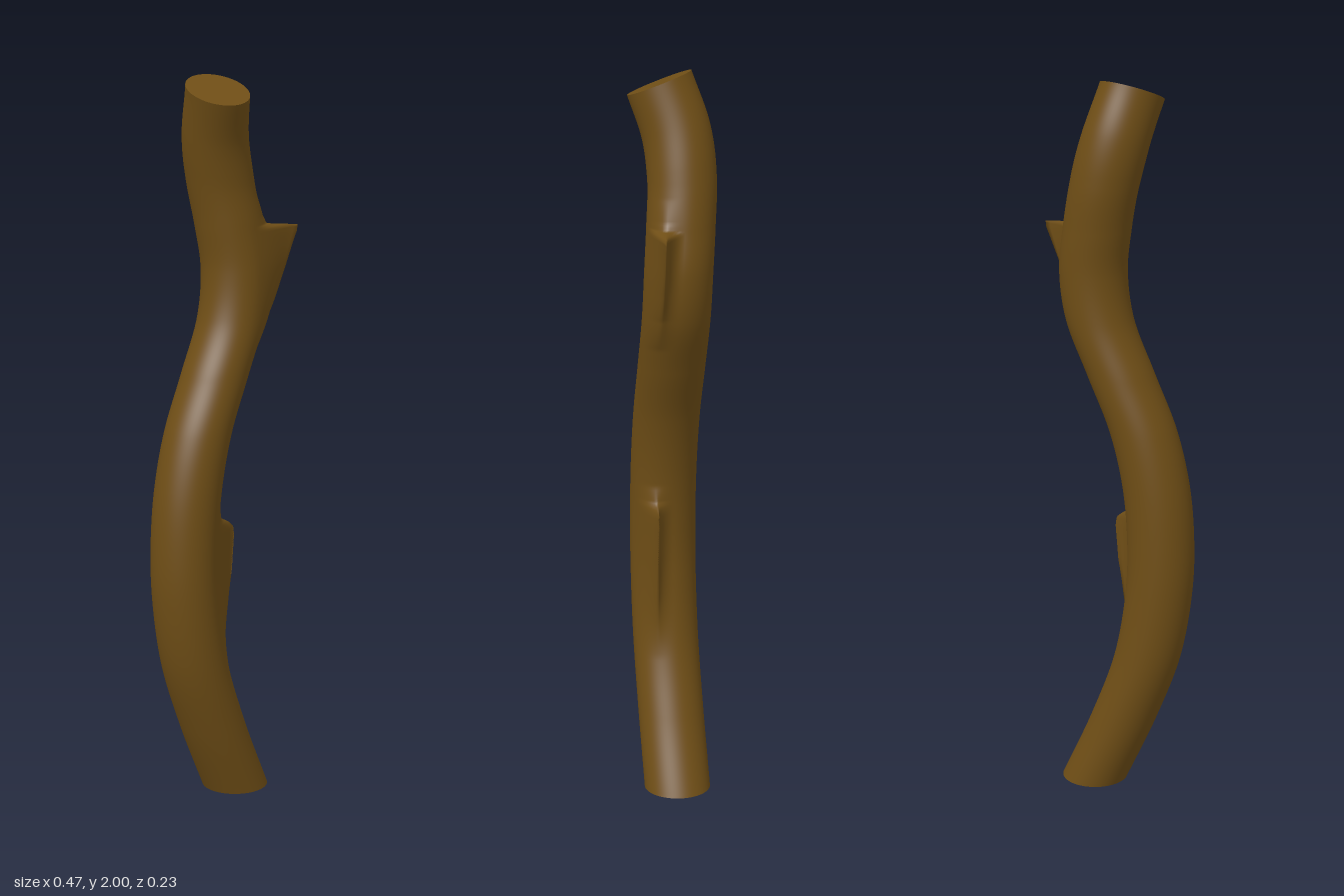
import * as THREE from 'three';

const RINGS = 280, SIDES = 72, RADIUS = 0.092;

// Centre line of the bent trunk
const spine = new THREE.CatmullRomCurve3([
  [0.055, 0, 0], [-0.035, 0.2, 0], [-0.107, 0.4, 0], [-0.14, 0.6, 0], [-0.143, 0.75, 0],
  [-0.128, 0.9, 0], [-0.09, 1.05, 0], [-0.025, 1.2, 0], [0.038, 1.35, 0], [0.055, 1.48, -0.003],
  [0.04, 1.6, -0.012], [0.016, 1.72, -0.02], [-0.012, 1.84, -0.01], [-0.043, 1.967, 0.029],
].map((p) => new THREE.Vector3(...p)));

// Torn branch stubs: tip position, and how far they stand out (amount) at each height
const stubs = [
  {
    angle: 0.66, back: 0.5, front: 0.95, tipX: 0.236, tipZ: 0.068,
    profile: [[1.27, 0], [1.36, 0.14], [1.44, 0.42], [1.57, 0.98], [1.588, 1], [1.598, 0.12], [1.62, 0.05], [1.68, 0]],
  },
  {
    angle: 0.42, back: 0.5, front: 0.95, tipX: 0.011, tipZ: 0.04,
    profile: [[0.36, 0], [0.45, 0.25], [0.55, 0.6], [0.65, 0.88], [0.75, 1], [0.775, 0.95], [0.792, 0.65], [0.805, 0.25], [0.85, 0]],
  },
];

function amountAt(profile, y) {
  for (let i = 1; i < profile.length; i++) {
    const [y0, a0] = profile[i - 1], [y1, a1] = profile[i];
    if (y >= y0 && y <= y1) return THREE.MathUtils.lerp(a0, a1, (y - y0) / (y1 - y0));
  }
  return 0;
}

// Point on the bark for a centre point and an angle (from +x towards +z)
function barkPoint(c, angle) {
  const r = THREE.MathUtils.lerp(RADIUS, 0.085, THREE.MathUtils.smoothstep(c.y, 1.75, 1.967));
  const dx = Math.cos(angle) * r, dz = Math.sin(angle) * r;
  // The rings tilt towards the slanted cut at the top
  const tilt = THREE.MathUtils.smoothstep(c.y, 1.62, 1.967);
  const p = new THREE.Vector3(c.x + dx, c.y + tilt * (0.13 * dx - 0.37 * dz), c.z + dz);
  for (const s of stubs) {
    let d = angle - s.angle;
    if (d > Math.PI) d -= 2 * Math.PI;
    const w = d < 0 ? Math.max(0, 1 + d / s.back) ** 2 : Math.max(0, 1 - d / s.front) ** 1.4;
    const k = w * amountAt(s.profile, c.y);
    p.x += (s.tipX - p.x) * k;
    p.z += (s.tipZ - p.z) * k;
  }
  return p;
}

function ring(t) {
  const c = spine.getPoint(t);
  return Array.from({ length: SIDES }, (_, i) => barkPoint(c, (i / SIDES) * Math.PI * 2));
}

function makeGeometry(points, index) {
  const g = new THREE.BufferGeometry().setFromPoints(points);
  g.setIndex(index);
  g.computeVertexNormals();
  return g;
}

function barkGeometry() {
  const points = [], index = [];
  for (let j = 0; j <= RINGS; j++) points.push(...ring(j / RINGS));
  for (let j = 0; j < RINGS; j++) {
    for (let i = 0; i < SIDES; i++) {
      const n = (i + 1) % SIDES;
      const a = j * SIDES + i, b = j * SIDES + n, c = a + SIDES, d = b + SIDES;
      index.push(a, c, b, b, c, d);
    }
  }
  return makeGeometry(points, index);
}

function capGeometry(t, up) {
  const points = [...ring(t), spine.getPoint(t)], index = [];
  for (let i = 0; i < SIDES; i++) {
    const n = (i + 1) % SIDES;
    if (up) index.push(SIDES, n, i);
    else index.push(SIDES, i, n);
  }
  return makeGeometry(points, index);
}

export function createModel() {
  const group = new THREE.Group();
  group.name = 'branch';
  const wood = new THREE.MeshStandardMaterial({ color: 0x6f4e16 });
  const add = (name, geometry) => {
    const mesh = new THREE.Mesh(geometry, wood);
    mesh.name = name;
    group.add(mesh);
  };
  add('bark', barkGeometry());
  add('bottomCut', capGeometry(0, false));
  add('topCut', capGeometry(1, true));
  return group;
}
